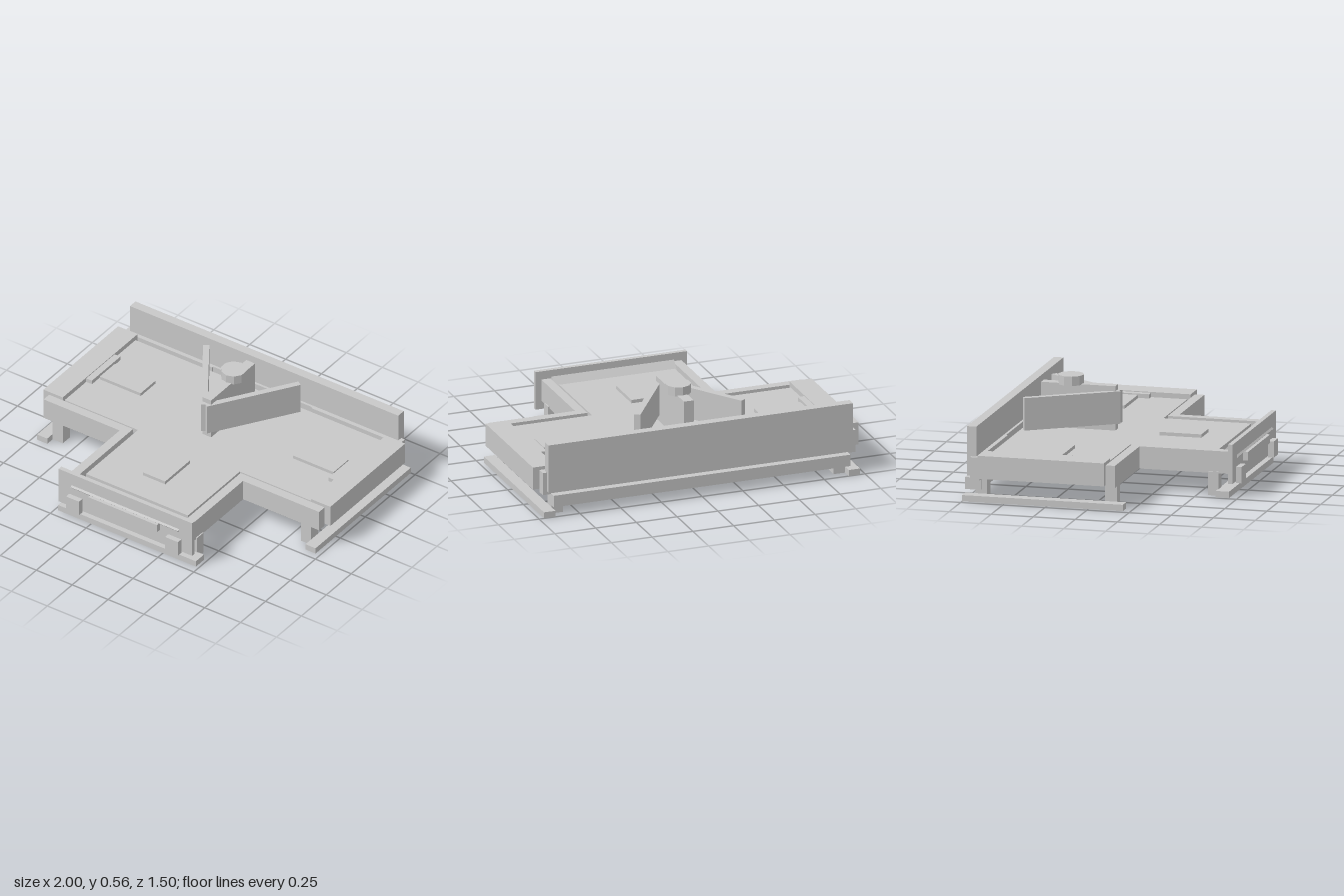
import * as THREE from 'three';

export function createModel() {
  const model = new THREE.Group();
  model.name = 'machineBed';
  const grey = new THREE.MeshStandardMaterial({ color: 0xc8c8c8, flatShading: true });
  grey.name = 'plainGrey';

  const add = (name, geometry) => {
    const mesh = new THREE.Mesh(geometry, grey);
    mesh.name = name;
    model.add(mesh);
    return mesh;
  };
  // Box given by its limits on each axis
  const box = (name, x0, x1, y0, y1, z0, z1) => {
    const mesh = add(name, new THREE.BoxGeometry(x1 - x0, y1 - y0, z1 - z0));
    mesh.position.set((x0 + x1) / 2, (y0 + y1) / 2, (z0 + z1) / 2);
    return mesh;
  };
  // The same box on the left and mirrored to the right
  const pair = (name, x0, x1, ...rest) => {
    box(name + 'Left', x0, x1, ...rest);
    box(name + 'Right', -x1, -x0, ...rest);
  };

  // T-shaped deck
  const outline = [[-0.87, 0.63], [0.87, 0.63], [0.87, -0.08], [0.355, -0.08],
    [0.355, -0.6], [-0.355, -0.6], [-0.355, -0.08], [-0.87, -0.08]];
  const tee = new THREE.Shape(outline.map(([x, y]) => new THREE.Vector2(x, y)));
  const deck = add('deck', new THREE.ExtrudeGeometry(tee, { depth: 0.03, bevelEnabled: false }));
  deck.rotation.x = -Math.PI / 2;
  deck.position.y = 0.22;

  // Raised pads on the deck
  box('frontPad', -0.08, 0.075, 0.25, 0.27, 0.175, 0.425);
  pair('sidePad', 0.53, 0.815, 0.25, 0.27, -0.35, -0.2);
  pair('sideStop', 0.825, 0.87, 0.25, 0.275, -0.42, -0.135);

  // Frame rails
  pair('sideRail', 0.865, 1, 0.145, 0.28, -0.65, 0.1);
  pair('shoulderRail', 0.375, 0.96, 0.13, 0.26, 0.1, 0.155);
  pair('stemRail', 0.375, 0.43, 0.13, 0.26, 0.155, 0.69);
  pair('backRail', 0.345, 0.96, 0.125, 0.26, -0.705, -0.65);
  box('backRailMiddle', -0.345, 0.345, 0.125, 0.26, -0.705, -0.66);
  box('backFence', -0.935, 0.935, 0.145, 0.435, -0.73, -0.675);
  box('backBeam', -0.91, 0.91, 0.06, 0.13, -0.75, -0.655);

  // Legs and skids
  pair('shoulderLeg', 0.83, 0.9, 0, 0.13, 0.08, 0.15);
  pair('backLeg', 0.83, 0.9, 0, 0.13, -0.69, -0.62);
  pair('sideSkid', 0.9, 0.97, 0, 0.037, -0.75, 0.205);
  pair('frontLeg', 0.37, 0.437, 0, 0.14, 0.562, 0.625);
  box('frontSkid', -0.48, 0.48, 0, 0.037, 0.62, 0.7);

  // Front panel with handle, end blocks and a tilted bar passing through it
  box('frontPanel', -0.465, 0.465, 0.08, 0.31, 0.69, 0.717);
  box('frontHandle', -0.24, 0.24, 0.17, 0.22, 0.717, 0.745);
  pair('frontBlock', 0.3, 0.39, 0.07, 0.165, 0.717, 0.75);
  const bar = add('tiltedBar', new THREE.BoxGeometry(0.75, 0.075, 0.085));
  const tilt = THREE.MathUtils.degToRad(43);
  bar.rotation.x = tilt;
  const toCorner = new THREE.Vector3(0, 0.0375, -0.0425).applyAxisAngle(new THREE.Vector3(1, 0, 0), tilt);
  bar.position.set(0, 0.28, 0.665).sub(toCorner);

  // V-shaped guide plates
  for (const s of [1, -1]) {
    const from = new THREE.Vector2(0.005 * s, -0.082);
    const to = new THREE.Vector2(0.325 * s, -0.562);
    const plate = add(s > 0 ? 'guideLeft' : 'guideRight',
      new THREE.BoxGeometry(0.036, 0.19, from.distanceTo(to)));
    plate.position.set((from.x + to.x) / 2, 0.385, (from.y + to.y) / 2);
    plate.rotation.y = Math.atan2(to.x - from.x, to.y - from.y);
  }

  // Centre fin with clamping knob
  box('centreFin', -0.03, 0.03, 0.24, 0.51, -0.54, -0.1);
  const knob = add('clampKnob', new THREE.CylinderGeometry(0.075, 0.075, 0.055, 10));
  knob.position.set(0, 0.5325, -0.37);

  return model;
}
